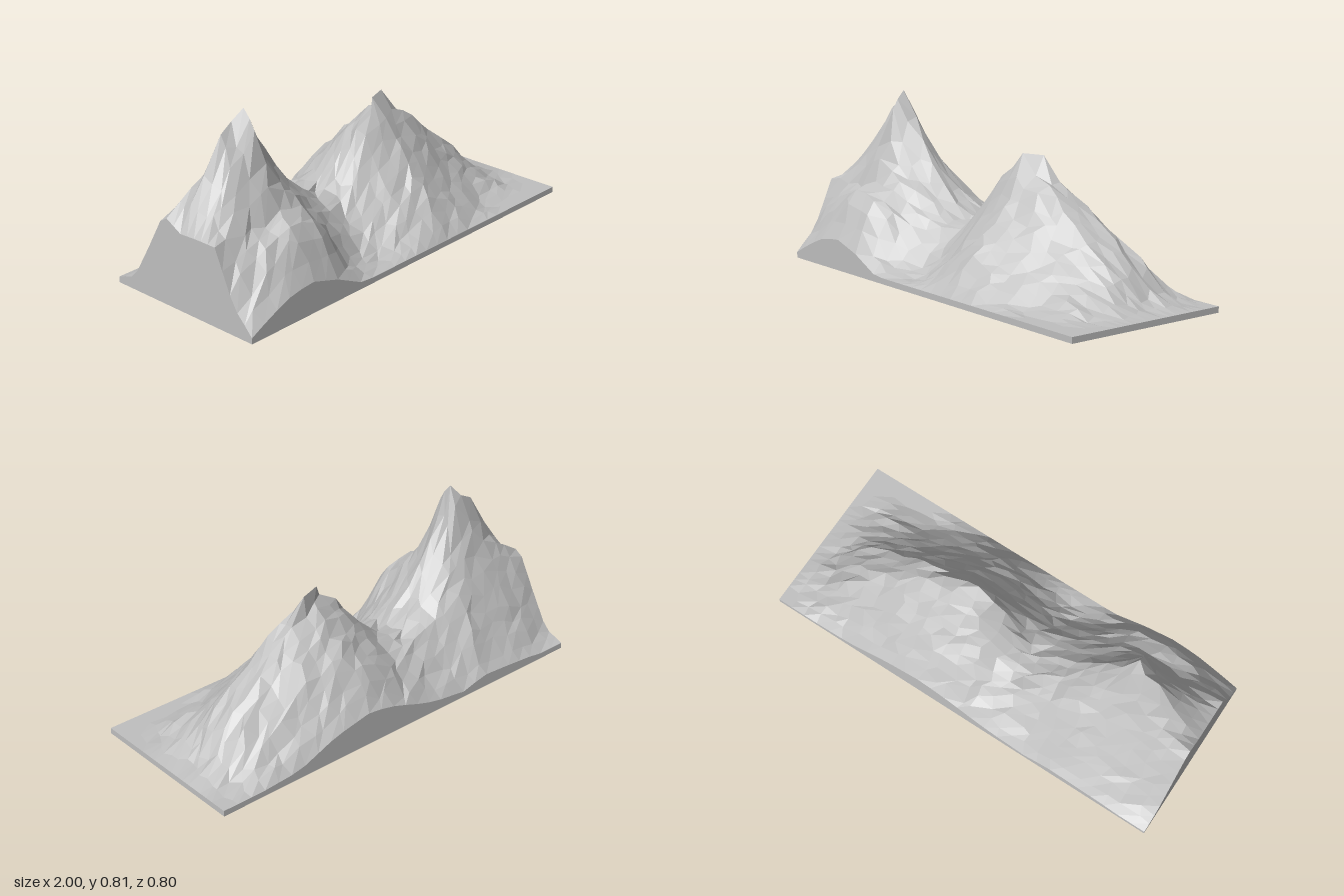
import * as THREE from 'three';

const BASE = 0.026, FLOOR = 0.027, HALF_X = 1, HALF_Z = 0.4;
const NX = 28, NZ = 20;

// Cross-sections along x: heights at nine even steps from front (+z) to back (-z)
const sections = [
  { x: -1.0, h: [0.03, 0.13, 0.36, 0.36, 0.355, 0.41, 0.23, 0.06, 0.03] },
  { x: -0.87, h: [0.09, 0.25, 0.35, 0.51, 0.53, 0.46, 0.29, 0.12, 0.03] },
  { x: -0.77, h: [0.13, 0.31, 0.36, 0.55, 0.71, 0.5, 0.32, 0.15, 0.04] },
  { x: -0.65, h: [0.145, 0.36, 0.385, 0.65, 0.8, 0.52, 0.34, 0.17, 0.05] },
  { x: -0.5, h: [0.1, 0.33, 0.365, 0.44, 0.55, 0.49, 0.36, 0.22, 0.06] },
  { x: -0.35, h: [0.03, 0.1, 0.22, 0.31, 0.36, 0.36, 0.31, 0.15, 0.03] },
  { x: -0.18, h: [0.03, 0.03, 0.1, 0.21, 0.24, 0.26, 0.26, 0.15, 0.05] },
  { x: -0.08, h: [0.03, 0.05, 0.15, 0.25, 0.31, 0.3, 0.27, 0.18, 0.08] },
  { x: 0.06, h: [0.03, 0.11, 0.22, 0.35, 0.5, 0.43, 0.34, 0.26, 0.13] },
  { x: 0.2, h: [0.03, 0.18, 0.28, 0.42, 0.58, 0.53, 0.42, 0.31, 0.16] },
  { x: 0.4, h: [0.03, 0.11, 0.2, 0.33, 0.47, 0.48, 0.38, 0.26, 0.12] },
  { x: 0.6, h: [0.03, 0.03, 0.1, 0.21, 0.31, 0.33, 0.28, 0.17, 0.04] },
  { x: 0.75, h: [0.03, 0.03, 0.08, 0.13, 0.19, 0.23, 0.2, 0.1, 0.03] },
  { x: 0.88, h: [0.03, 0.03, 0.03, 0.04, 0.05, 0.06, 0.06, 0.03, 0.03] },
  { x: 1.0, h: [0.03, 0.03, 0.03, 0.03, 0.03, 0.03, 0.03, 0.03, 0.03] },
];

// Repeatable noise in -1..1
function noise(i, j) {
  const s = Math.sin(i * 127.1 + j * 311.7) * 43758.5453;
  return 2 * (s - Math.floor(s)) - 1;
}

// Height within one section, blended between its steps
function sectionHeight(h, z) {
  const t = THREE.MathUtils.clamp((HALF_Z - z) / 0.1, 0, 8);
  const k = Math.min(Math.floor(t), 7);
  return THREE.MathUtils.lerp(h[k], h[k + 1], t - k);
}

// Height of the terrain, blended between neighbouring sections
function heightAt(x, z) {
  let k = 0;
  while (k < sections.length - 2 && x > sections[k + 1].x) k++;
  const a = sections[k], b = sections[k + 1];
  const t = THREE.MathUtils.clamp((x - a.x) / (b.x - a.x), 0, 1);
  return THREE.MathUtils.lerp(sectionHeight(a.h, z), sectionHeight(b.h, z), t);
}

// Unindexed triangles give flat facets
function facetGeometry(triangles) {
  const geometry = new THREE.BufferGeometry().setFromPoints(triangles);
  geometry.computeVertexNormals();
  return geometry;
}

function buildGrid() {
  const grid = [];
  for (let i = 0; i <= NX; i++) {
    grid.push([]);
    for (let j = 0; j <= NZ; j++) {
      const inside = i > 0 && i < NX && j > 0 && j < NZ;
      const x = -HALF_X + (2 * HALF_X * i) / NX + (inside ? 0.024 * noise(i, j) : 0);
      const z = -HALF_Z + (2 * HALF_Z * j) / NZ + (inside ? 0.01 * noise(j, i + 50) : 0);
      let y = heightAt(x, z);
      // Roughen the slopes, leaving the plains level
      if (inside && y > 0.05) y += 0.012 * noise(i + 9, j + 17);
      grid[i].push(new THREE.Vector3(x, y < 0.032 ? FLOOR : y, z));
    }
  }
  // Summit ridge of the tall mountain
  grid[5][12].set(-0.65, 0.72, 0.08);
  grid[5][11].set(-0.65, 0.765, 0.055);
  grid[5][10].set(-0.65, 0.805, 0.02);
  grid[5][9].set(-0.64, 0.72, -0.025);
  grid[5][8].set(-0.64, 0.57, -0.075);
  // Blunt summit of the lower mountain
  grid[17][10].set(0.18, 0.605, -0.02);
  grid[18][9].set(0.28, 0.605, -0.055);
  return grid;
}

export function createModel() {
  const group = new THREE.Group();
  group.name = 'mountainRange';
  const stone = new THREE.MeshStandardMaterial({ color: 0xc0c0c0 });
  stone.name = 'stone grey';

  const add = (name, geometry) => {
    const mesh = new THREE.Mesh(geometry, stone);
    mesh.name = name;
    group.add(mesh);
    return mesh;
  };

  // Mountain surface
  const grid = buildGrid();
  const surface = [];
  for (let i = 0; i < NX; i++) {
    for (let j = 0; j < NZ; j++) {
      const a = grid[i][j], b = grid[i + 1][j], c = grid[i][j + 1], d = grid[i + 1][j + 1];
      surface.push(a, c, b, b, c, d);
    }
  }
  add('mountainSurface', facetGeometry(surface));

  // Cut faces around the rim
  const rim = [];
  for (let i = 0; i < NX; i++) rim.push(grid[i][NZ]);
  for (let j = NZ; j > 0; j--) rim.push(grid[NX][j]);
  for (let i = NX; i > 0; i--) rim.push(grid[i][0]);
  for (let j = 0; j < NZ; j++) rim.push(grid[0][j]);
  const walls = [];
  rim.forEach((a, k) => {
    const b = rim[(k + 1) % rim.length];
    const a0 = new THREE.Vector3(a.x, BASE, a.z);
    const b0 = new THREE.Vector3(b.x, BASE, b.z);
    walls.push(a0, b0, b, a0, b, a);
  });
  add('cutFaces', facetGeometry(walls));

  // Base slab
  const slab = add('baseSlab', new THREE.BoxGeometry(2 * HALF_X, BASE, 2 * HALF_Z));
  slab.position.y = BASE / 2;

  return group;
}
